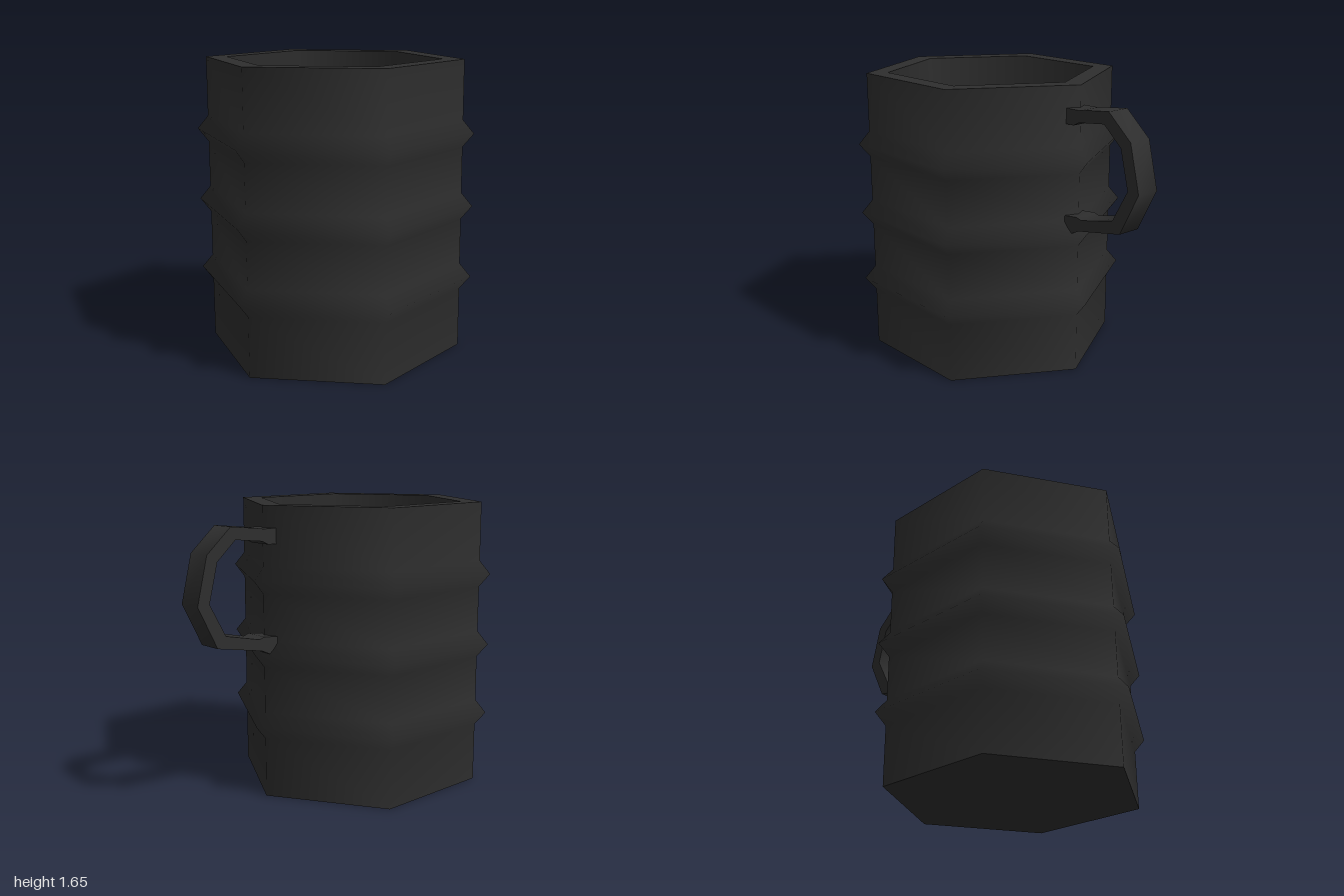
import * as THREE from 'three';

const HEIGHT = 1.65, RADIUS = 0.725, RIDGE = 0.787, INNER = 0.605, FLOOR = 0.1;
const AXIS_X = -0.213, HALF_WIDTH = 0.07;

// Six-sided lathe with corners on the x axis, profile given as [radius, y]
function hexLathe(name, profile, material) {
  const points = profile.map(([r, y]) => new THREE.Vector2(r, y));
  const mesh = new THREE.Mesh(new THREE.LatheGeometry(points, 6, Math.PI / 6), material);
  mesh.name = name;
  mesh.position.x = AXIS_X;
  return mesh;
}

// Ribbon of quads between two rows of points, smooth along its length
function strip(name, a, b, material) {
  const positions = [], index = [];
  a.forEach((p, i) => {
    positions.push(...p, ...b[i]);
    if (i > 0) {
      const k = 2 * (i - 1);
      index.push(k, k + 2, k + 1, k + 1, k + 2, k + 3);
    }
  });
  const geometry = new THREE.BufferGeometry();
  geometry.setAttribute('position', new THREE.Float32BufferAttribute(positions, 3));
  geometry.setIndex(index);
  geometry.computeVertexNormals();
  const mesh = new THREE.Mesh(geometry, material);
  mesh.name = name;
  return mesh;
}

export function createModel() {
  const group = new THREE.Group();
  group.name = 'mug';
  const charcoal = new THREE.MeshStandardMaterial({ color: 0x2e2e2e });
  charcoal.name = 'charcoal';

  // Outer wall with three pointed ridges
  const wall = [[RADIUS, 0]];
  for (const y of [0.415, 0.828, 1.24]) {
    wall.push([RADIUS, y - 0.075], [RIDGE, y], [RADIUS, y + 0.075]);
  }
  wall.push([RADIUS, HEIGHT]);
  group.add(
    hexLathe('outerWall', wall, charcoal),
    hexLathe('rim', [[RADIUS, HEIGHT], [INNER, HEIGHT]], charcoal),
    hexLathe('innerWall', [[INNER, HEIGHT], [INNER, FLOOR]], charcoal),
    hexLathe('innerFloor', [[INNER, FLOOR], [0, FLOOR]], charcoal),
    hexLathe('base', [[0, 0], [RADIUS, 0]], charcoal),
  );

  // Handle sections from top to bottom: outer x, y, inner x, y
  const sections = [
    [0.475, 1.53, 0.475, 1.445],
    [0.56, 1.53, 0.53, 1.445],
    [0.59, 1.535, 0.57, 1.465],
    [0.78, 1.555, 0.75, 1.485],
    [0.935, 1.42, 0.87, 1.38],
    [1.0, 1.16, 0.925, 1.165],
    [0.88, 0.925, 0.825, 0.985],
    [0.585, 0.87, 0.6, 0.935],
    [0.53, 0.845, 0.565, 0.945],
    [0.475, 0.89, 0.475, 0.935],
  ];
  const row = (k, z) => sections.map((s) => [s[k], s[k + 1], z]);
  const outF = row(0, HALF_WIDTH), outB = row(0, -HALF_WIDTH);
  const inF = row(2, HALF_WIDTH), inB = row(2, -HALF_WIDTH);
  const last = sections.length - 1;
  const handle = new THREE.Group();
  handle.name = 'handle';
  handle.add(
    strip('handleOutside', outF, outB, charcoal),
    strip('handleInside', inB, inF, charcoal),
    strip('handleFront', inF, outF, charcoal),
    strip('handleBack', outB, inB, charcoal),
    strip('handleTopEnd', [outB[0], inB[0]], [outF[0], inF[0]], charcoal),
    strip('handleBottomEnd', [outF[last], inF[last]], [outB[last], inB[last]], charcoal),
  );
  group.add(handle);
  return group;
}
